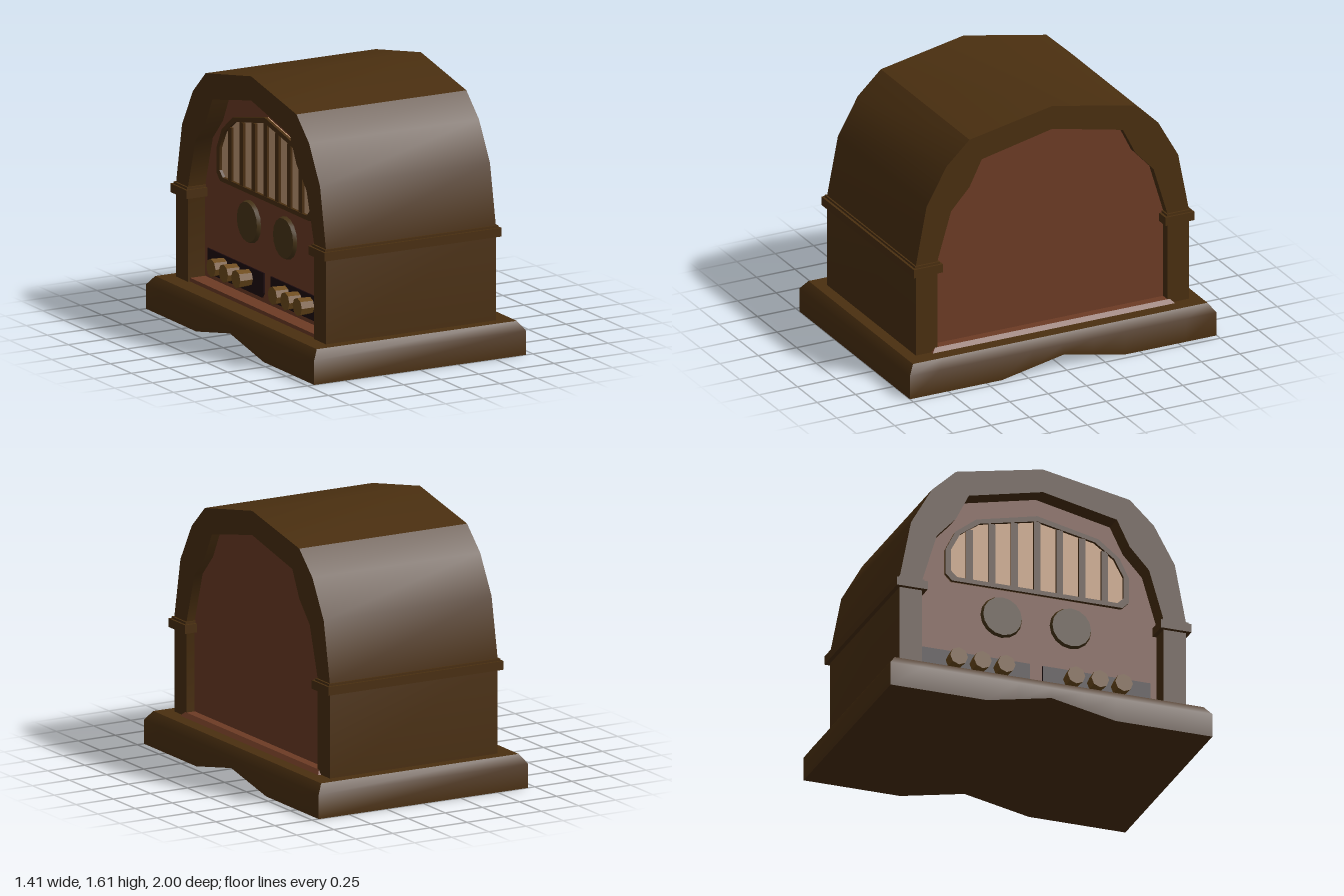
import * as THREE from 'three';
import { toCreasedNormals } from 'three/addons/utils/BufferGeometryUtils.js';

const mat = (name, color) => {
  const m = new THREE.MeshStandardMaterial({ color });
  m.name = name;
  return m;
};

export function createModel() {
  const group = new THREE.Group();
  const wood = mat('dark wood', 0x4a2f10);
  const panelWood = mat('red wood', 0x6d3b25);
  const cloth = mat('pale cloth', 0xc49a76);
  const black = mat('dark plate', 0x1e0b0e);
  const brass = mat('knob brown', 0x6e4b1c);
  const dialMat = mat('dial brown', 0x4a3618);

  const add = (name, geo, material, x = 0, y = 0, z = 0) => {
    const m = new THREE.Mesh(geo, material);
    m.name = name;
    m.position.set(x, y, z);
    group.add(m);
    return m;
  };
  const box = (name, material, x0, x1, y0, y1, z0, z1) =>
    add(name, new THREE.BoxGeometry(x1 - x0, y1 - y0, z1 - z0), material,
      (x0 + x1) / 2, (y0 + y1) / 2, (z0 + z1) / 2);
  // Mirrors half an outline, listed from bottom to apex, in z
  const mirrored = (half) => [
    ...half,
    ...half.filter((p) => p[0] > 0).reverse().map(([z, y]) => [-z, y]),
  ].map(([z, y]) => new THREE.Vector2(z, y));
  // Extrudes a (z, y) outline from x0 to x1
  const slab = (outline, x0, x1, hole) => {
    const shape = new THREE.Shape(outline);
    if (hole) shape.holes.push(new THREE.Path(hole));
    const geo = new THREE.ExtrudeGeometry(shape, { depth: x1 - x0, bevelEnabled: false });
    geo.rotateY(-Math.PI / 2).translate(x1, 0, 0);
    return toCreasedNormals(geo, 0.54);
  };

  // Plinth: chamfered top edge and a shallow notch cut under it
  const base = new THREE.BoxGeometry(1.41, 0.2, 2, 1, 2, 10);
  const p = base.attributes.position;
  for (let i = 0; i < p.count; i++) {
    const x = p.getX(i), y = p.getY(i), z = p.getZ(i);
    if (y > 0.05) p.setXYZ(i, x * (0.665 / 0.705), 0.2, z * 0.96);
    else if (y > -0.05) p.setY(i, 0.145);
    else p.setY(i, 0.08 * Math.max(0, 1 - Math.abs(z) / 0.4));
  }
  add('plinth', toCreasedNormals(base, 0.7), wood);

  // Arched case, open at both ends
  const outer = [[0.89, 0.19], [0.89, 0.77], [0.82, 1.13], [0.69, 1.36], [0.54, 1.5], [0, 1.605]];
  const inner = [[0.75, 0.19], [0.75, 0.77], [0.66, 1.07], [0.54, 1.2], [0.46, 1.36], [0, 1.46]];
  const arch = [...mirrored(outer), ...mirrored(inner).reverse()];
  add('archedCase', slab(arch, -0.565, 0.565), wood);
  add('innerPanel', slab(mirrored(inner), -0.45, 0.51), panelWood);

  // Mouldings along both sides, with a thin upper lip
  for (const s of [-1, 1]) {
    const side = (name, x, y0, y1, z0, z1) =>
      box(name, wood, -x, x, y0, y1, Math.min(s * z0, s * z1), Math.max(s * z0, s * z1));
    side('moulding', 0.59, 0.705, 0.757, 0.725, 0.915);
    side('mouldingLip', 0.577, 0.757, 0.77, 0.74, 0.9);
  }

  // Sills at the foot of each end
  box('sill', panelWood, -0.55, -0.44, 0.19, 0.222, -0.75, 0.75);
  const sill = new THREE.BoxGeometry(0.09, 0.025, 1.58);
  const sp = sill.attributes.position;
  for (let i = 0; i < sp.count; i++) {
    if (sp.getY(i) > 0) {
      if (sp.getX(i) > 0) sp.setX(i, 0.025);
      sp.setZ(i, Math.sign(sp.getZ(i)) * 0.765);
    }
  }
  add('sill', toCreasedNormals(sill, 0.3), panelWood, 0.54, 0.2125, 0);

  // Speaker window: cloth, frame and upright bars
  const win = [[0.53, 0.845], [0.57, 0.885], [0.57, 1.04], [0.51, 1.16], [0.38, 1.26], [0, 1.345]];
  const hole = win.map(([z, y]) => [z * 0.94, 1.07 + (y - 1.07) * 0.88]);
  add('speakerCloth', slab(mirrored(win), -0.457, -0.449), cloth);
  add('speakerFrame', slab(mirrored(win), -0.475, -0.449, mirrored(hole)), wood);
  const barTops = [1.31, 1.28, 1.25, 1.19];
  for (let i = -3; i <= 3; i++) {
    box('speakerBar', wood, -0.472, -0.449, 0.86, barTops[Math.abs(i)], i * 0.14 - 0.021, i * 0.14 + 0.021);
  }

  // Dials, knob plates and knobs
  const disc = (r0, r1, h, n) =>
    toCreasedNormals(new THREE.CylinderGeometry(r0, r1, h, n).rotateZ(Math.PI / 2), 0.5);
  for (const s of [-1, 1]) {
    add('dial', disc(0.12, 0.13, 0.025, 16), dialMat, -0.46, 0.67, s * 0.215);
    const plate = [[0.06, 0.25], [0.69, 0.25], [0.71, 0.28], [0.71, 0.4], [0.04, 0.4], [0.04, 0.28]];
    add('knobPlate', slab(plate.map(([z, y]) => new THREE.Vector2(s * z, y)), -0.459, -0.449), black);
    for (let k = -1; k <= 1; k++) {
      add('knob', disc(0.055, 0.05, 0.09, 8), brass, -0.5, 0.335, s * 0.365 + k * 0.148);
    }
  }
  return group;
}
